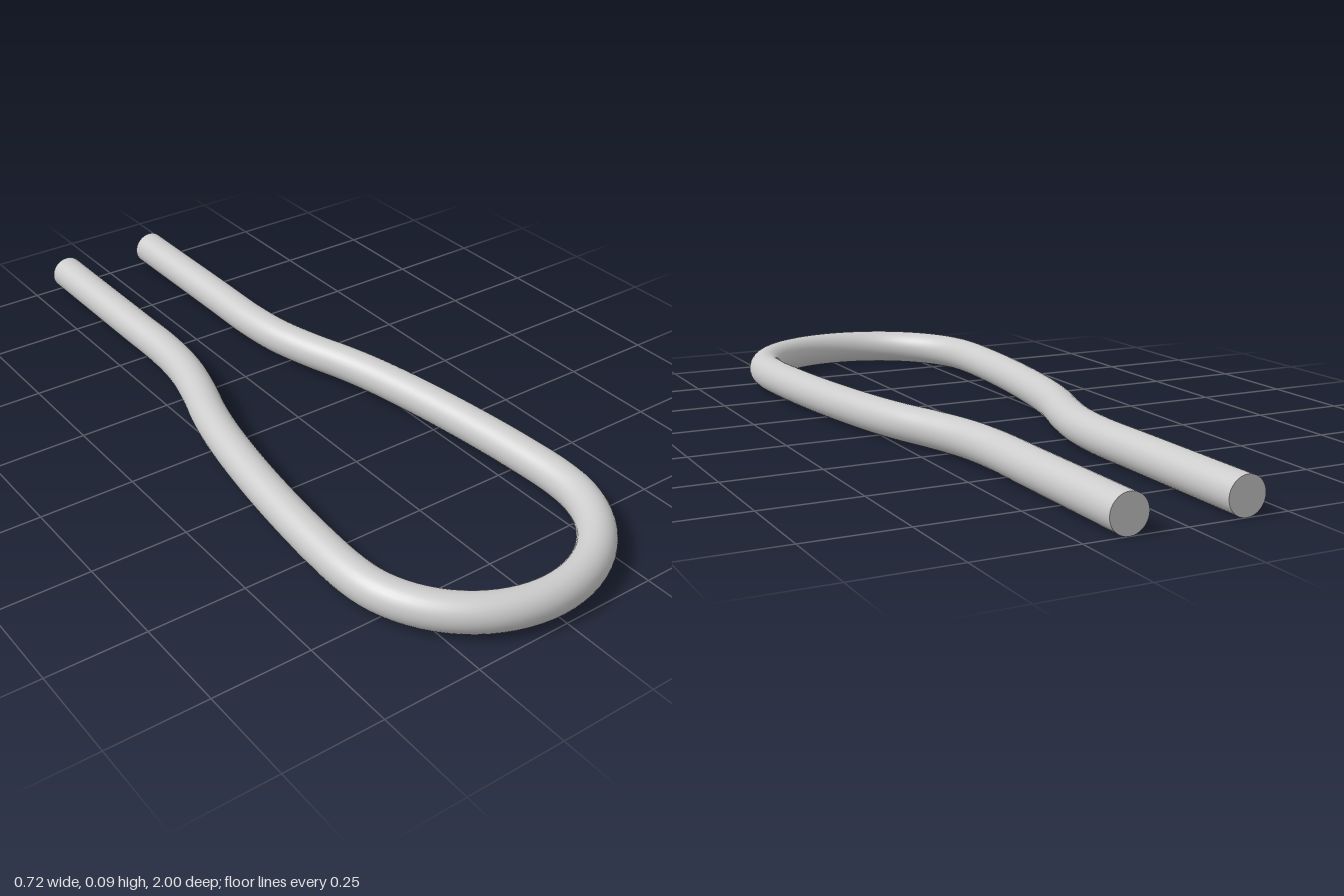
import * as THREE from 'three';

const R = 0.047;      // rod radius
const LEG_X = 0.143;  // half spacing of the straight legs
const BOW_R = 0.314;  // radius of the rounded front bow
const BOW_Z = 0.639;  // centre of the bow

export function createModel() {
  const group = new THREE.Group();
  group.name = 'bentRodLoop';
  const material = new THREE.MeshStandardMaterial({ color: 0xcccccc });

  // Half of the centre line as [x, z]: straight leg, S-bend, widening side
  const side = [
    [LEG_X, -1], [LEG_X, -0.8], [LEG_X, -0.6], [LEG_X, -0.43], [0.155, -0.31],
    [0.185, -0.19], [0.218, -0.09], [0.244, 0.01], [0.275, 0.18], [0.298, 0.36], [0.311, 0.52],
  ];
  const at = (x, z) => new THREE.Vector3(x, R, z);
  const path = side.map(([x, z]) => at(x, z));
  // Semicircular bow from left to right
  const steps = 12;
  for (let i = 0; i <= steps; i++) {
    const a = (i / steps) * Math.PI;
    path.push(at(BOW_R * Math.cos(a), BOW_Z + BOW_R * Math.sin(a)));
  }
  // Mirrored right side
  for (const [x, z] of [...side].reverse()) path.push(at(-x, z));

  const curve = new THREE.CatmullRomCurve3(path, false, 'centripetal');
  const rod = new THREE.Mesh(new THREE.TubeGeometry(curve, 160, R, 32, false), material);
  rod.name = 'rod';
  group.add(rod);

  // Flat cut ends facing the back
  for (const s of [1, -1]) {
    const cap = new THREE.Mesh(new THREE.CircleGeometry(R, 32), material);
    cap.name = s > 0 ? 'leftEndCap' : 'rightEndCap';
    cap.rotation.y = Math.PI;
    cap.position.set(s * LEG_X, R, -1);
    group.add(cap);
  }
  return group;
}
